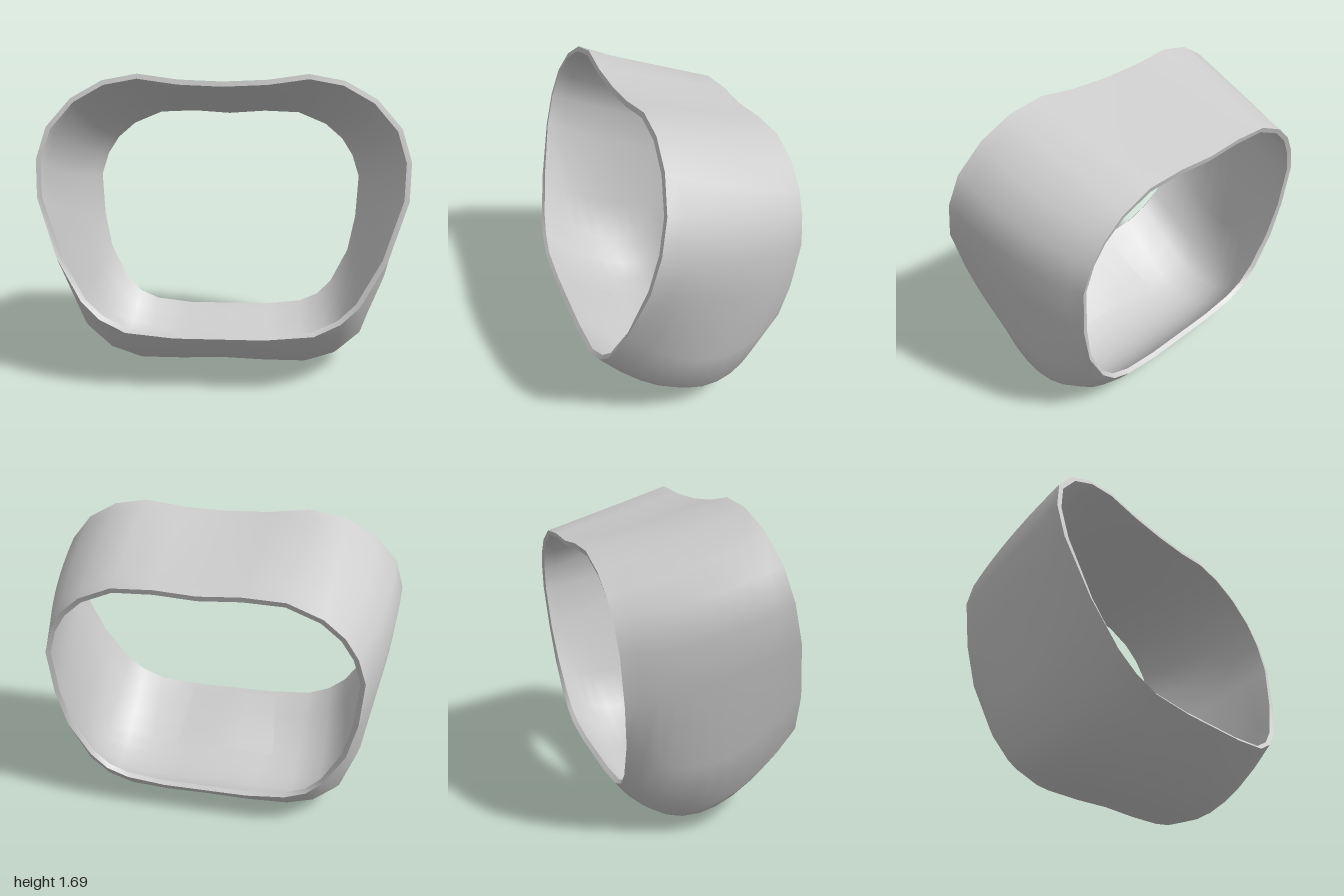
import * as THREE from 'three';

// Right half-outlines [x, y] of three sections, from top centre to bottom centre
const FRONT = [[0, 1.66], [0.24, 1.67], [0.46, 1.7], [0.65, 1.665], [0.82, 1.57], [0.95, 1.42], [1, 1.25],
  [0.99, 1.05], [0.88, 0.74], [0.74, 0.51], [0.64, 0.42], [0.5, 0.355], [0.24, 0.332], [0, 0.332]];
const MIDDLE = [[0, 1.56], [0.24, 1.57], [0.46, 1.585], [0.64, 1.53], [0.8, 1.42], [0.91, 1.28], [0.95, 1.1],
  [0.93, 0.88], [0.865, 0.44], [0.78, 0.18], [0.64, 0.06], [0.47, 0.008], [0.24, 0.01], [0, 0.02]];
const BACK = [[0, 1.455], [0.22, 1.47], [0.44, 1.46], [0.62, 1.385], [0.73, 1.29], [0.8, 1.18], [0.845, 1.04],
  [0.83, 0.78], [0.78, 0.56], [0.67, 0.36], [0.58, 0.27], [0.46, 0.22], [0.24, 0.195], [0, 0.195]];

const SIDES = 26, STEPS = 10, THICK = 0.028;

// Closed curve from a half-outline; each section lies on a plane tilted by z(y)
function section(half, zOf) {
  const left = half.slice(1, -1).reverse().map(([x, y]) => [-x, y]);
  const pts = [...half, ...left].map(([x, y]) => new THREE.Vector3(x, y, zOf(y)));
  return new THREE.CatmullRomCurve3(pts, true, 'centripetal');
}
const sections = [
  section(FRONT, y => 0.2 + (1.7 - y) * 0.248),
  section(MIDDLE, y => -0.09 * y),
  section(BACK, y => -0.41 - (y - 0.19) * 0.1),
];

// Outer skin: a parabola through the three sections (t = 0 front, 1 back)
function skin(u, t) {
  const k = [2 * (t - 0.5) * (t - 1), 4 * t * (1 - t), 2 * t * (t - 0.5)];
  const a = (((u / SIDES) % 1) + 1) % 1;
  return sections.reduce((p, c, i) => p.addScaledVector(c.getPoint(a), k[i]), new THREE.Vector3());
}

// Point a given depth below the outer skin
function inset(u, t, depth) {
  const e = 0.02;
  const du = skin(u + 0.3, t).sub(skin(u - 0.3, t));
  const dt = skin(u, t + e).sub(skin(u, t - e));
  return skin(u, t).addScaledVector(du.cross(dt).normalize(), -depth);
}

// Grid of points f(i, j); wraps around in i when closed
function grid(f, ni, nj, closed, flip) {
  const pos = [], idx = [], cols = closed ? ni : ni + 1;
  for (let j = 0; j <= nj; j++)
    for (let i = 0; i < cols; i++) pos.push(...f(i, j).toArray());
  for (let j = 0; j < nj; j++)
    for (let i = 0; i < ni; i++) {
      const i2 = (i + 1) % cols;
      const a = j * cols + i, b = j * cols + i2, c = a + cols, d = b + cols;
      idx.push(...(flip ? [a, c, b, b, c, d] : [a, b, c, b, d, c]));
    }
  const g = new THREE.BufferGeometry();
  g.setAttribute('position', new THREE.Float32BufferAttribute(pos, 3));
  g.setIndex(idx);
  g.computeVertexNormals();
  return g;
}

export function createModel() {
  const model = new THREE.Group();
  const material = new THREE.MeshStandardMaterial({ color: 0xcccccc, side: THREE.DoubleSide });
  const add = (name, geometry) => {
    const mesh = new THREE.Mesh(geometry, material);
    mesh.name = name;
    model.add(mesh);
  };

  // Band walls
  add('outerWall', grid((i, j) => skin(i, j / STEPS), SIDES, STEPS, true, false));
  add('innerWall', grid((i, j) => inset(i, j / STEPS, THICK), SIDES, STEPS, true, true));

  // Narrow rims joining the two walls
  add('frontRim', grid((i, j) => inset(i, 0, j * THICK), SIDES, 1, true, true));
  add('backRim', grid((i, j) => inset(i, 1, j * THICK), SIDES, 1, true, false));

  // Thin pad inside the lower front edge, slightly wider toward the back
  add('innerPad', grid((i, j) => {
    const half = 1.15 + 0.15 * (j / 5);
    return inset(13 + (i / 6 - 0.5) * 2 * half, 0.02 + 0.3 * (j / 5), THICK + 0.006);
  }, 6, 5, false, true));

  return model;
}
